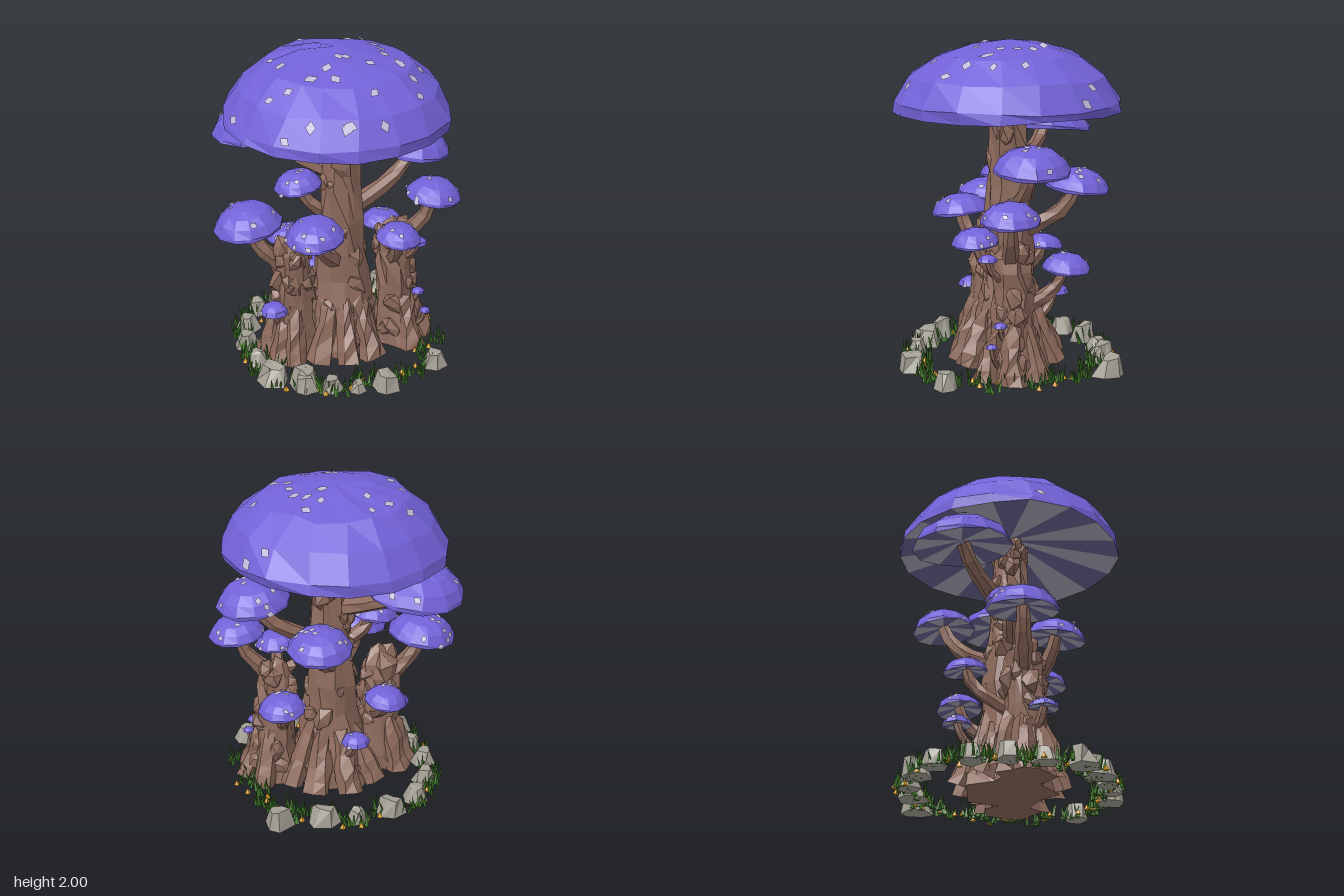
import * as THREE from 'three';
import { mergeGeometries } from 'three/addons/utils/BufferGeometryUtils.js';

const mat = (color, side = THREE.FrontSide) => new THREE.MeshStandardMaterial({ color, flatShading: true, side });
const V = (x, y, z) => new THREE.Vector3(x, y, z);
const P = (x, y) => new THREE.Vector2(x, y);

export function createModel() {
  const group = new THREE.Group();
  const bark = mat(0x8d6a5c), purple = mat(0x7262d8), gillGrey = mat(0xa9a4b6), gillDark = mat(0x6a6394);
  const spotMat = mat(0xc2bada, THREE.DoubleSide), rockMat = mat(0xa39f94);
  const grassMat = mat(0x427a28, THREE.DoubleSide), flowerMat = mat(0xe8aa2c);

  let seed = 7;
  const rnd = (a, b) => {
    seed = (seed * 16807) % 2147483647;
    return a + (b - a) * (seed / 2147483647);
  };

  const add = (parent, geo, material, name) => {
    const m = new THREE.Mesh(geo, material);
    m.name = name;
    parent.add(m);
    return m;
  };

  // Rough up a surface by a rule of position, so shared corners stay together
  const roughen = (geo, amp, f = 1, keepGround = false) => {
    const p = geo.attributes.position;
    for (let i = 0; i < p.count; i++) {
      const x = p.getX(i), y = p.getY(i), z = p.getZ(i);
      const ground = keepGround && y < 0.011;
      p.setXYZ(i,
        x + amp * Math.sin(f * (57 * x + 91 * y + 33 * z) + 1),
        ground ? y : y + amp * 0.7 * Math.sin(f * (71 * x + 43 * y + 87 * z) + 2),
        z + amp * Math.sin(f * (39 * x + 77 * y + 61 * z) + 4));
    }
    geo.computeVertexNormals();
    return geo;
  };

  // Mushroom cap: faceted dome, striped hollow underside, diamond spots
  function cap(x, y, z, r, h, tilt, spots, name) {
    const g = new THREE.Group();
    g.name = name;
    const n = r > 0.5 ? 18 : r > 0.1 ? 12 : 8;
    const prof = r > 0.1
      ? [P(0.985, 0), P(0.985, 0.13), P(0.855, 0.5), P(0.62, 0.8), P(0.3, 0.955), P(0, 1)]
      : [P(1, 0), P(0.85, 0.5), P(0.5, 0.85), P(0, 1)];
    const rough = geo => roughen(geo, r * 0.02, 0.7 / r);
    const dome = rough(new THREE.LatheGeometry(prof, n).scale(r, h, r));
    add(g, dome, purple, 'capDome');
    const gills = [[], []];
    for (let i = 0; i < n; i++) {
      gills[i % 2].push(new THREE.LatheGeometry(
        [P(0, h * 0.26), P(r * 0.985, 0)], 1, i / n * 2 * Math.PI, 2 * Math.PI / n));
    }
    gills.forEach((list, i) => add(g, rough(mergeGeometries(list)), i ? gillDark : gillGrey, 'capGills'));

    // Spots lie flat on randomly picked facets
    const flat = dome.toNonIndexed().attributes.position, tri = new THREE.Triangle(), diamonds = [];
    const normal = V(0, 0, 0), mid = V(0, 0, 0);
    while (diamonds.length < spots) {
      const k = 3 * Math.floor(rnd(0, flat.count / 3));
      tri.setFromAttributeAndIndices(flat, k, k + 1, k + 2);
      if (tri.getArea() < r * r * 0.008) continue;
      tri.getNormal(normal);
      if (normal.y < 0.25) continue;
      tri.getMidpoint(mid).lerp(tri.a, rnd(0, 0.4)).addScaledVector(normal, 0.012);
      const s = r > 0.5 ? rnd(0.032, 0.045) : 0.012 + r * 0.06;
      const d = new THREE.CircleGeometry(s, 4).scale(1, 0.75, 1).rotateZ(rnd(0, 3));
      d.applyQuaternion(new THREE.Quaternion().setFromUnitVectors(V(0, 0, 1), normal));
      diamonds.push(d.translate(mid.x, mid.y, mid.z));
    }
    if (spots) add(g, mergeGeometries(diamonds), spotMat, 'capSpots');
    g.position.set(x, y, z);
    if (tilt) g.quaternion.setFromAxisAngle(V(z, 0, -x).normalize(), tilt);
    group.add(g);
  }

  // Tapered bent limb for stems and roots
  function limb(pts, r0, r1, name, sides, amp) {
    const curve = new THREE.CatmullRomCurve3(pts);
    const seg = 5, geo = new THREE.TubeGeometry(curve, seg, 1, sides);
    const p = geo.attributes.position, v = V(0, 0, 0);
    for (let i = 0; i < p.count; i++) {
      const t = Math.floor(i / (sides + 1)) / seg, c = curve.getPointAt(t);
      v.fromBufferAttribute(p, i).sub(c).multiplyScalar(r0 + (r1 - r0) * t).add(c);
      p.setXYZ(i, v.x, Math.max(v.y, 0.01), v.z);
    }
    add(group, roughen(geo, amp, 1, true), bark, name);
  }

  // Trunk: smooth profile, root ridges at the foot, embedded knots
  function trunk(x, z, profile, rows, lean, ridges, knots, name) {
    const prof = new THREE.SplineCurve(profile).getPoints(rows), H = prof[rows].y;
    const geo = new THREE.LatheGeometry([P(0, 0), ...prof], 12);
    const p = geo.attributes.position;
    for (let i = 0; i < p.count; i++) {
      const y = p.getY(i), a = Math.atan2(p.getX(i), p.getZ(i));
      const k = 1 + 0.14 * Math.max(0, 1 - y / 0.45) * Math.cos(ridges * a);
      p.setXYZ(i, p.getX(i) * k + x + lean * y / H, y + 0.01, p.getZ(i) * k + z);
    }
    add(group, roughen(geo, 0.016, 1, true), bark, name);
    const lumps = [];
    for (let i = 0; i < knots; i++) {
      const at = prof[Math.floor(rnd(1, rows - 1))], a = rnd(0, 6.28), r = at.x * 0.8;
      const y = Math.max(0.12, at.y + rnd(-0.05, 0.05));
      lumps.push(new THREE.IcosahedronGeometry(rnd(0.045, 0.065), 0).rotateY(rnd(0, 3)).scale(1, rnd(1, 1.7), 1)
        .rotateZ(rnd(-0.7, 0.7)).translate(x + lean * y / H + r * Math.sin(a), y, z + r * Math.cos(a)));
    }
    add(group, roughen(mergeGeometries(lumps), 0.01), bark, name + 'Knots');
  }

  // Roots fan out from a trunk at the given directions
  const roots = (x, z, reach, h, angles) => angles.forEach(a => {
    const at = (d, y) => V(x + Math.sin(a) * d, y, z + Math.cos(a) * d);
    const top = h * rnd(0.9, 1.1);
    limb([at(reach * 0.4, top + 0.06), at(reach * 0.66, top * 0.6), at(reach * 0.92, 0.01)],
      0.05, 0.08, 'root', 6, 0.012);
  });

  trunk(0.02, 0, [P(0.27, 0), P(0.21, 0.24), P(0.165, 0.55), P(0.135, 1), P(0.1, 1.45), P(0.09, 1.63), P(0, 1.7)],
    13, 0.02, 7, 60, 'mainTrunk');
  roots(0.02, 0, 0.34, 0.36, [0, 0.55, -0.6, 2.1, 2.7, 3.4, 4.1]);
  const sideProfile = [P(0.165, 0), P(0.13, 0.25), P(0.115, 0.55), P(0.1, 0.74), P(0, 0.86)];
  trunk(-0.3, 0.08, sideProfile, 8, 0, 5, 24, 'rightTrunk');
  roots(-0.3, 0.08, 0.19, 0.31, [-0.1, -0.7, -1.6, -2.5]);
  trunk(0.385, 0.01, sideProfile, 8, -0.025, 5, 24, 'leftTrunk');
  roots(0.38, 0.02, 0.2, 0.31, [0.4, 1.5, 2.6]);

  // Side mushroom on a stem that leaves the trunk sideways, then turns up
  function mushroom(x, y, z, r, fromX, fromY, fromZ) {
    const big = r > 0.1, h = r * (r > 0.3 ? 0.56 : 0.67);
    cap(x, y, z, r, h, big ? 0.12 : 0, r > 0.08 ? Math.round(2 + r * 46) : 0, 'sideCap');
    const start = V(fromX, fromY, fromZ), end = V(x, y + h * 0.22, z);
    const bend = (out, up) => V(0, 0, 0).lerpVectors(start, end, out).setY(fromY + (end.y - fromY) * up);
    const stem = Math.min(0.05, 0.01 + r * 0.22);
    limb([start, bend(0.5, 0.31), bend(0.84, 0.62), end], stem * 1.15, stem * 0.8, 'stem', 6, big ? 0.006 : 0.002);
  }
  mushroom(-0.425, 1.405, -0.285, 0.305, 0, 1.19, -0.02);
  mushroom(0.5, 1.28, -0.085, 0.225, 0.1, 0.97, 0);
  mushroom(0.6, 1.01, 0.05, 0.175, 0.38, 0.72, 0.03);
  mushroom(-0.56, 0.92, 0.07, 0.213, -0.36, 0.64, 0.08);
  mushroom(-0.24, 1.13, 0, 0.15, 0, 0.9, 0);
  mushroom(-0.185, 0.91, 0.275, 0.182, -0.03, 0.65, 0.1);
  mushroom(0.14, 1.11, -0.41, 0.195, 0.03, 0.82, -0.06);
  mushroom(0.34, 0.83, 0.23, 0.14, 0.35, 0.6, 0.05);
  mushroom(0.36, 0.665, -0.31, 0.145, 0.33, 0.42, -0.06);
  mushroom(-0.28, 0.65, -0.26, 0.13, -0.27, 0.42, 0);
  mushroom(-0.09, 0.395, -0.31, 0.09, -0.03, 0.2, -0.14);
  mushroom(-0.43, 0.37, 0.19, 0.09, -0.34, 0.22, 0.1);
  mushroom(0.48, 0.755, 0.17, 0.06, 0.4, 0.6, 0.06);
  mushroom(0.51, 0.36, 0.1, 0.043, 0.45, 0.25, 0.06);
  mushroom(0.545, 0.245, 0.155, 0.036, 0.47, 0.1, 0.1);
  cap(0, 1.58, 0, 0.698, 0.42, 0, 38, 'crownCap');

  // Rocks
  function rock(x, z, r) {
    const h = r * 1.15;
    const geo = roughen(new THREE.CylinderGeometry(r * 0.55, r, h, 6, 1).rotateY(rnd(0, 3))
      .translate(0, h / 2, 0), r * 0.17, 1.5, true);
    add(group, geo, rockMat, 'rock').position.set(x, 0.01, z);
  }
  rock(0.42, -0.57, 0.1);
  rock(0.2, 0.61, 0.09);
  rock(0.55, 0.43, 0.08);
  rock(0.02, 0.6, 0.055);
  rock(-0.29, 0.5, 0.1);
  rock(-0.14, 0.57, 0.07);
  // Ring of rocks around the back and the right side
  for (let a = 2.9; a < 5.9; a += 0.36) {
    const d = rnd(0.57, 0.62);
    rock(d * Math.sin(a), d * Math.cos(a), rnd(0.07, 0.095));
  }

  // Grass tufts and small flowers in a ring around the roots
  const blades = [], flowers = [];
  for (let i = 0; i < 44; i++) {
    const a = i / 44 * 6.283 + rnd(-0.07, 0.07), r = rnd(0.52, 0.67);
    for (let k = 0; k < 8; k++) {
      const h = rnd(0.06, 0.13);
      blades.push(new THREE.ConeGeometry(0.012, h, 3).rotateY(rnd(0, 2)).translate(0, h / 2, 0)
        .rotateX(rnd(-0.35, 0.35)).rotateZ(rnd(-0.35, 0.35))
        .translate(r * Math.sin(a) + rnd(-0.045, 0.045), 0.01, r * Math.cos(a) + rnd(-0.045, 0.045)));
    }
    const f = a + rnd(0, 0.15), d = rnd(0.52, 0.68);
    flowers.push(new THREE.ConeGeometry(0.021, 0.035, 4).rotateY(rnd(0, 2))
      .translate(d * Math.sin(f), 0.03, d * Math.cos(f)));
  }
  add(group, mergeGeometries(blades), grassMat, 'grass');
  add(group, mergeGeometries(flowers), flowerMat, 'flowers');
  return group;
}
